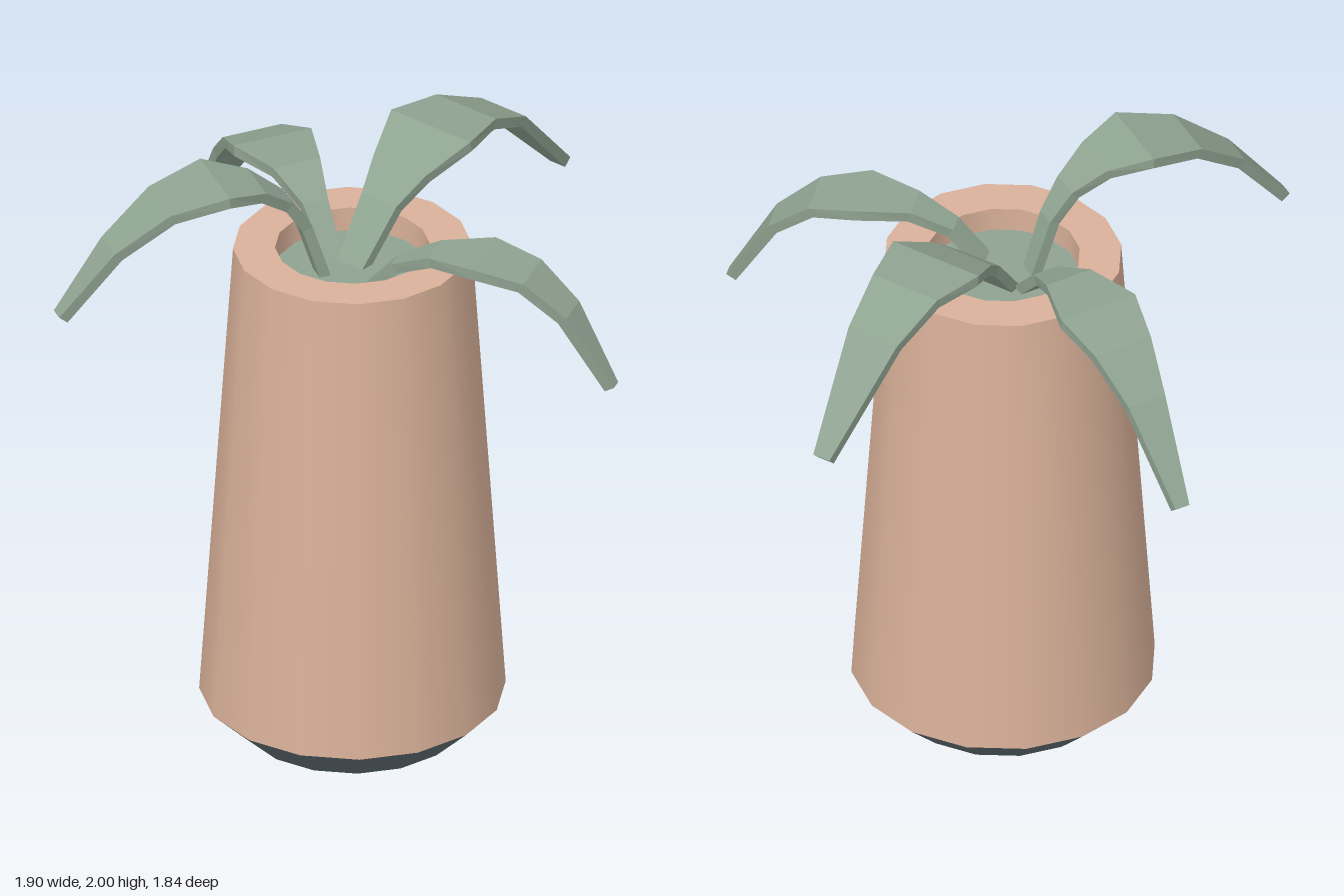
import * as THREE from 'three';

const POT_X = -0.09, POT_Z = 0.05, SIDES = 16, SOIL_Y = 1.6;

const clay = new THREE.MeshStandardMaterial({ name: 'clay', color: 0xd9b199 });
const slate = new THREE.MeshStandardMaterial({ name: 'slate', color: 0x5f6e74 });
const leafGreen = new THREE.MeshStandardMaterial({ name: 'leafGreen', color: 0x8fa391, flatShading: true });

function part(name, geometry, material) {
  const mesh = new THREE.Mesh(geometry, material);
  mesh.name = name;
  return mesh;
}

// One straight-sided ring of the pot, between two [radius, y] points
function ring(a, b) {
  return new THREE.LatheGeometry([new THREE.Vector2(...a), new THREE.Vector2(...b)], SIDES);
}

function disc(radius, y, up) {
  return new THREE.CircleGeometry(radius, SIDES).rotateX(up ? -Math.PI / 2 : Math.PI / 2).translate(0, y, 0);
}

// Arching blade from base to tip ([x, z]); each profile row is [fraction along, top height, width]
function leafGeometry(base, tip, profile, thickness = 0.035) {
  const start = new THREE.Vector3(base[0], 0, base[1]);
  const end = new THREE.Vector3(tip[0], 0, tip[1]);
  const along = end.clone().sub(start).normalize();
  const side = new THREE.Vector3(-along.z, 0, along.x);
  const tops = profile.map(([t, y]) => start.clone().lerp(end, t).setY(y));

  // Four corners per section: top left, top right, bottom right, bottom left
  const positions = [];
  tops.forEach((p, i) => {
    const tangent = tops[Math.min(i + 1, tops.length - 1)].clone().sub(tops[Math.max(i - 1, 0)]).normalize();
    const down = side.clone().cross(tangent).normalize();
    if (down.y > 0) down.negate();
    const half = profile[i][2] / 2;
    for (const [s, d] of [[-half, 0], [half, 0], [half, thickness], [-half, thickness]]) {
      positions.push(...p.clone().addScaledVector(side, s).addScaledVector(down, d).toArray());
    }
  });

  const index = [];
  const quad = (a, b, c, d) => index.push(a, b, c, a, c, d);
  for (let i = 0; i < tops.length - 1; i++) {
    for (let k = 0; k < 4; k++) {
      const a = i * 4 + k, b = i * 4 + (k + 1) % 4;
      quad(a, b, b + 4, a + 4);
    }
  }
  const last = (tops.length - 1) * 4;
  quad(3, 2, 1, 0);
  quad(last, last + 1, last + 2, last + 3);

  const indexed = new THREE.BufferGeometry();
  indexed.setAttribute('position', new THREE.Float32BufferAttribute(positions, 3));
  indexed.setIndex(index);
  // Turn the corner order outward
  const flipped = [];
  for (let i = 0; i < index.length; i += 3) flipped.push(index[i], index[i + 2], index[i + 1]);
  const ab = new THREE.Vector3().fromArray(positions, 3).sub(new THREE.Vector3().fromArray(positions, 0));
  const ac = new THREE.Vector3().fromArray(positions, 15).sub(new THREE.Vector3().fromArray(positions, 0));
  if (ab.cross(ac).y < 0) indexed.setIndex(flipped);
  const geometry = indexed.toNonIndexed();
  geometry.computeVertexNormals();
  return geometry;
}

export function createModel() {
  const model = new THREE.Group();
  model.name = 'pottedPlant';

  // Tall tapered pot on a chamfered foot
  const pot = new THREE.Group();
  pot.name = 'pot';
  pot.position.set(POT_X, 0, POT_Z);
  pot.add(
    part('footBottom', disc(0.35, 0, false), slate),
    part('foot', ring([0.35, 0], [0.475, 0.12]), slate),
    part('body', ring([0.475, 0.12], [0.37, 1.68]), clay),
    part('rim', ring([0.37, 1.68], [0.24, 1.68]), clay),
    part('innerWall', ring([0.24, 1.68], [0.24, SOIL_Y]), clay),
    part('soilCover', disc(0.24, SOIL_Y, true), leafGreen)
  );
  model.add(pot);

  // Four drooping leaves
  const leaves = [
    ['leftLeaf', [-0.08, 0.03], [0.945, -0.012],
      [[0, 1.6, 0.1], [0.137, 1.77, 0.14], [0.234, 1.85, 0.21], [0.38, 1.925, 0.32], [0.546, 1.92, 0.24], [0.722, 1.84, 0.18], [1, 1.55, 0.06]]],
    ['frontLeaf', [-0.145, 0.14], [0.178, 0.91],
      [[0, 1.59, 0.06], [0.13, 1.71, 0.07], [0.286, 1.77, 0.12], [0.48, 1.785, 0.22], [0.67, 1.75, 0.17], [0.83, 1.64, 0.12], [1, 1.4, 0.04]]],
    ['backLeaf', [-0.095, -0.02], [0.285, -0.915],
      [[0, 1.6, 0.06], [0.145, 1.74, 0.085], [0.29, 1.805, 0.16], [0.475, 1.805, 0.265], [0.63, 1.75, 0.2], [0.78, 1.63, 0.13], [1, 1.36, 0.05]]],
    ['rightLeaf', [-0.155, 0.005], [-0.947, -0.408],
      [[0, 1.6, 0.06], [0.07, 1.79, 0.07], [0.145, 1.89, 0.1], [0.26, 1.965, 0.17], [0.415, 2, 0.27], [0.62, 1.955, 0.2], [0.81, 1.83, 0.12], [1, 1.62, 0.05]]]
  ];
  for (const [name, base, tip, profile] of leaves) {
    model.add(part(name, leafGeometry(base, tip, profile), leafGreen));
  }
  return model;
}
